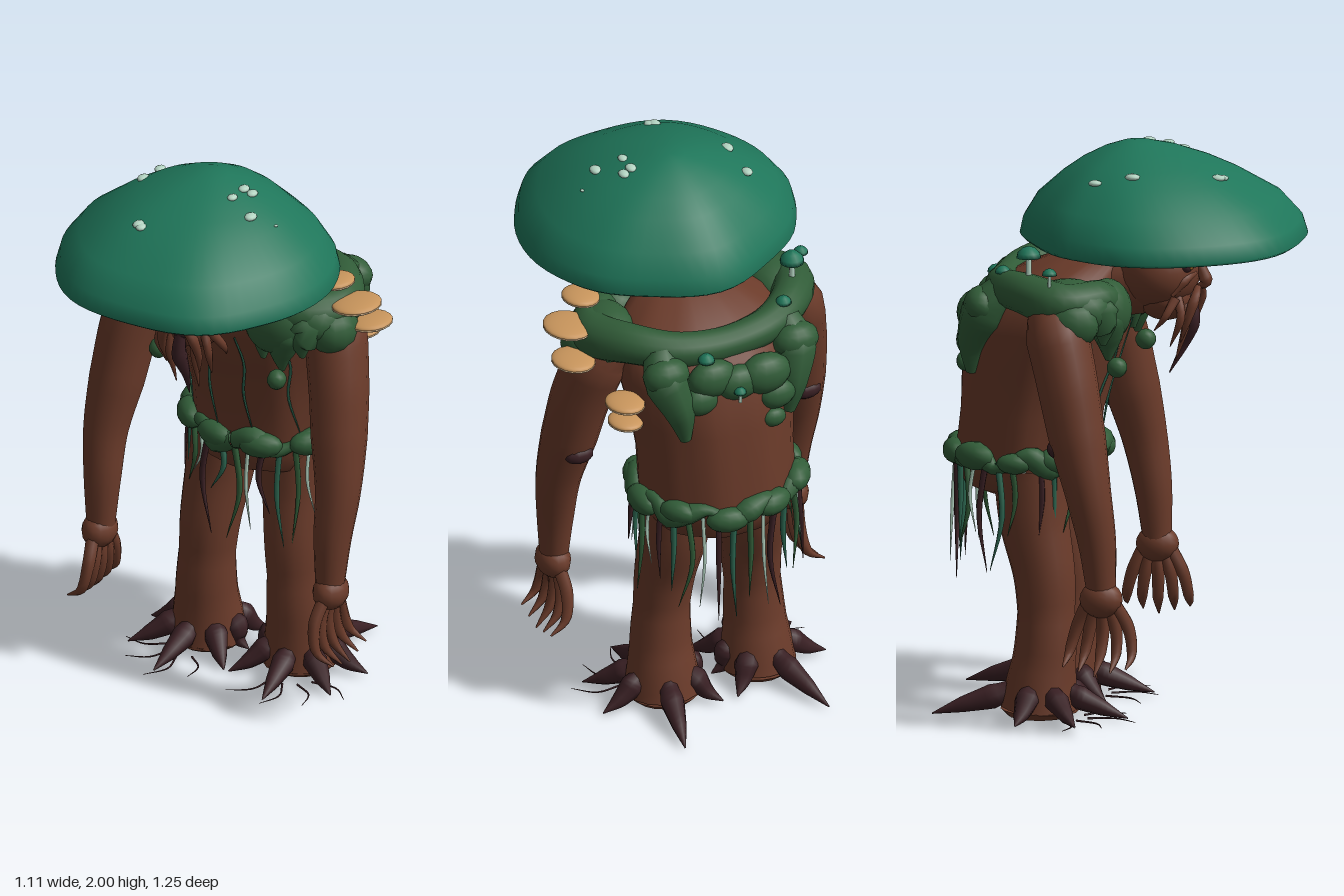
import * as THREE from 'three';
import { mergeVertices } from 'three/addons/utils/BufferGeometryUtils.js';

const mat = (name, color, side = THREE.FrontSide) => {
  const m = new THREE.MeshStandardMaterial({ color, side });
  m.name = name;
  return m;
};

export function createModel() {
  const bark = mat('bark', 0x6b3b2a), darkBark = mat('dark bark', 0x3a2024);
  const moss = mat('moss', 0x315c38), teal = mat('cap teal', 0x1f765a);
  const pale = mat('pale fungus', 0xb4d4c2, THREE.DoubleSide), tan = mat('shelf tan', 0xc8955c);
  const cream = mat('shelf cream', 0xe2c196);
  const amber = mat('amber eye', 0xb5772f), vine = mat('vine green', 0x2c6650);

  const model = new THREE.Group();
  model.name = 'mushroomTreeCreature';
  let seed = 7;
  const rnd = () => (seed = (seed * 16807) % 2147483647) / 2147483647;
  const V = (p) => new THREE.Vector3(...p);

  const add = (name, geo, material) => {
    const m = new THREE.Mesh(geo, material);
    m.name = name;
    model.add(m);
    return m;
  };
  const smooth = (geo) => {
    geo.deleteAttribute('uv');
    geo.deleteAttribute('normal');
    const g = mergeVertices(geo, 1e-4);
    g.computeVertexNormals();
    return g;
  };
  // Tube along points whose radius changes from one point to the next
  const sweep = (name, pts, radii, material, sides = 8, steps = 5) => {
    const curve = new THREE.CatmullRomCurve3(pts.map(V));
    const n = (pts.length - 1) * steps;
    const g = new THREE.TubeGeometry(curve, n, 1, sides);
    const p = g.attributes.position, v = new THREE.Vector3();
    for (let i = 0; i <= n; i++) {
      const c = curve.getPointAt(i / n), f = (i / n) * (radii.length - 1);
      const k = Math.min(Math.floor(f), radii.length - 2);
      const r = THREE.MathUtils.lerp(radii[k], radii[k + 1], f - k);
      for (let j = 0; j <= sides; j++) {
        const id = i * (sides + 1) + j;
        v.fromBufferAttribute(p, id).sub(c).multiplyScalar(r).add(c);
        p.setXYZ(id, v.x, v.y, v.z);
      }
    }
    return add(name, smooth(g), material);
  };
  const blob = (name, pos, scale, material, w = 14) => {
    const m = add(name, new THREE.SphereGeometry(1, w, Math.ceil(w * 0.7)), material);
    m.position.set(...pos);
    m.scale.set(...scale);
    return m;
  };

  // Torso: stacked rings [y, centre z, half width, half depth], top to bottom
  const rings = [[1.62, -0.08, 0.01, 0.01], [1.6, -0.1, 0.12, 0.12], [1.53, -0.19, 0.25, 0.2],
    [1.45, -0.23, 0.32, 0.255], [1.35, -0.26, 0.315, 0.275], [1.2, -0.3, 0.288, 0.265],
    [1.05, -0.325, 0.275, 0.245], [0.92, -0.34, 0.275, 0.245], [0.85, -0.34, 0.265, 0.24],
    [0.785, -0.335, 0.24, 0.222], [0.765, -0.33, 0.19, 0.18], [0.76, -0.32, 0.01, 0.01]];
  const body = new THREE.CylinderGeometry(1, 1, 1, 36, rings.length - 1, true);
  const bp = body.attributes.position;
  for (let i = 0; i < bp.count; i++) {
    const [y, cz, rx, rz] = rings[Math.floor(i / 37)];
    const a = ((i % 37) / 36) * Math.PI * 2, k = 1 + 0.018 * Math.sin(9 * a + y * 2);
    bp.setXYZ(i, Math.sin(a) * rx * k, y, cz + Math.cos(a) * rz * k);
  }
  add('torso', smooth(body), bark);

  // Mushroom cap: lathe profile pushed to an uneven outline, with its peak set back
  const profile = [[0, 1.73], [0.2, 1.72], [0.36, 1.695], [0.46, 1.667], [0.485, 1.656], [0.5, 1.668],
    [0.485, 1.725], [0.425, 1.805], [0.31, 1.887], [0.23, 1.932], [0.14, 1.97], [0.06, 1.993], [0, 2]];
  const outline = [0.495, 0.518, 0.492, 0.492, 0.485, 0.465, 0.49, 0.46, 0.478, 0.5, 0.495, 0.51];
  const rimScale = (a) => {
    const f = ((a / (Math.PI * 2) + 2) % 1) * 12, k = Math.floor(f) % 12, t = f - Math.floor(f);
    return THREE.MathUtils.lerp(outline[k], outline[(k + 1) % 12], t * t * (3 - 2 * t)) / 0.5;
  };
  const capPoint = (r, a, y) => {
    const k = r * (1 + (rimScale(a) - 1) * Math.min(1, r / 0.4));
    return [-0.012 + k * Math.sin(a), y, 0.125 - 0.09 * (1 - r / 0.5) + k * Math.cos(a)];
  };
  const cap = new THREE.LatheGeometry(profile.map((q) => new THREE.Vector2(...q)), 60);
  const cp = cap.attributes.position;
  for (let i = 0; i < cp.count; i++) {
    const x = cp.getX(i), z = cp.getZ(i);
    cp.setXYZ(i, ...capPoint(Math.hypot(x, z), Math.atan2(x, z), cp.getY(i)));
  }
  add('mushroomCap', smooth(cap), teal);

  // Gills: radial strips under the cap
  for (let i = 0; i < 32; i++) {
    const a = (i / 32) * Math.PI * 2, pts = [];
    for (const [r, y] of [[0.14, 1.712], [0.3, 1.696], [0.4, 1.674], [0.468, 1.655]])
      for (const w of [-0.006, 0.006]) pts.push(V(capPoint(r, a + w / r, y)));
    const g = new THREE.BufferGeometry().setFromPoints(pts);
    g.setIndex([0, 2, 4].flatMap((k) => [k, k + 2, k + 1, k + 1, k + 2, k + 3]));
    g.computeVertexNormals();
    add('gill', g, pale);
  }

  // Pale warts on the cap top
  for (const [x, z, s] of [[-0.27, -0.05, 1], [-0.26, 0.08, 1.1], [0.125, 0.055, 1], [0.155, 0.05, 1], [0.12, 0.125, 0.9],
    [0.21, 0.155, 1.1], [-0.12, 0.35, 1.1], [-0.105, 0.36, 1], [0.285, 0.11, 0.35]]) {
    let r = 0.2;
    for (let i = 0; i < 6; i++) r = Math.hypot(x + 0.012, z - 0.125 + 0.09 * (1 - r / 0.5));
    let k = 5;
    while (profile[k + 1][0] > r) k++;
    const [r0, y0] = profile[k], [r1, y1] = profile[k + 1];
    blob('capWart', [x, y0 + ((y1 - y0) * (r - r0)) / (r1 - r0), z], [0.019 * s, 0.011 * s, 0.024 * s], pale, 10);
  }

  // Head and face
  sweep('neck', [[0, 1.46, -0.2], [-0.01, 1.5, -0.04], [-0.02, 1.51, 0.1]], [0.14, 0.13, 0.11], bark, 14);
  blob('head', [-0.02, 1.55, 0.12], [0.15, 0.14, 0.145], bark, 26);
  blob('jaw', [-0.02, 1.46, 0.145], [0.11, 0.085, 0.1], bark, 18);
  sweep('nose', [[-0.02, 1.61, 0.245], [-0.02, 1.55, 0.275], [-0.02, 1.51, 0.285], [-0.02, 1.495, 0.25]],
    [0.012, 0.018, 0.024, 0.004], bark);
  blob('mouth', [-0.02, 1.46, 0.236], [0.036, 0.022, 0.02], darkBark);
  sweep('beardRoot', [[-0.02, 1.46, 0.235], [-0.025, 1.38, 0.24], [-0.015, 1.29, 0.21], [-0.03, 1.19, 0.16]],
    [0.02, 0.028, 0.013, 0.002], darkBark);
  for (const s of [-1, 1]) {
    const X = (x) => -0.02 + s * x;
    blob('eyeSocket', [X(0.068), 1.582, 0.236], [0.04, 0.024, 0.018], darkBark);
    blob('eye', [X(0.068), 1.581, 0.247], [0.024, 0.014, 0.012], amber, 12);
    blob('pupil', [X(0.068), 1.581, 0.257], [0.007, 0.008, 0.004], darkBark, 8);
    sweep('brow', [[X(0.015), 1.605, 0.262], [X(0.06), 1.622, 0.252], [X(0.12), 1.595, 0.205]], [0.006, 0.015, 0.005], bark);
    sweep('cheek', [[X(0.03), 1.55, 0.255], [X(0.08), 1.535, 0.23], [X(0.11), 1.48, 0.19]], [0.01, 0.02, 0.006], bark);
    sweep('moustache', [[X(0.01), 1.495, 0.26], [X(0.05), 1.47, 0.26], [X(0.07), 1.4, 0.24], [X(0.06), 1.31, 0.21]],
      [0.012, 0.02, 0.013, 0.002], bark);
    for (const [x, y, z] of [[0.09, 1.3, 0.18], [0.045, 1.24, 0.19], [0.12, 1.36, 0.13]])
      sweep('beardStrand', [[X(x * 0.8), 1.47, 0.2], [X(x * 1.1), 1.41, z + 0.04], [X(x), y, z]], [0.018, 0.014, 0.002], bark);
  }

  for (const s of [-1, 1]) {
    // Arm, wrist, elbow burl and fingers
    const A = (pts) => pts.map(([x, y, z]) => [s * x - 0.012, y, z]);
    sweep('arm', A([[0.25, 1.48, -0.2], [0.355, 1.42, -0.17], [0.41, 1.25, -0.12], [0.44, 1.05, -0.075],
      [0.462, 0.85, -0.03], [0.458, 0.68, 0], [0.456, 0.5, 0.015]]), [0.07, 0.11, 0.105, 0.098, 0.08, 0.066, 0.05], bark, 16);
    blob('hand', [s * 0.46 - 0.012, 0.48, 0.015], [0.06, 0.065, 0.075], bark);
    blob('elbowBurl', [s * 0.44 - 0.012, 1.0, -0.145], [0.055, 0.035, 0.033], darkBark, 10);
    for (let i = 0; i < 5; i++) {
      const t = i / 2 - 1;
      sweep('finger', A([[0.46, 0.47, 0.015 + t * 0.045], [0.45, 0.38, 0.02 + t * 0.09],
        [0.47, 0.29, 0.015 + t * 0.11], [0.53, 0.22 + 0.03 * Math.abs(t), 0.005 + t * 0.11]]),
      [0.024, 0.023, 0.019, 0.003], bark, 7);
    }

    // Leg with closed sole, and root toes
    const L = (x) => s * x - 0.017;
    sweep('leg', [[L(0.14), 0.86, -0.3], [L(0.152), 0.68, -0.285], [L(0.168), 0.48, -0.245], [L(0.18), 0.25, -0.24],
      [L(0.183), 0.1, -0.255], [L(0.183), 0.03, -0.26]], [0.13, 0.122, 0.109, 0.099, 0.11, 0.135], bark, 18);
    const sole = add('sole', new THREE.CylinderGeometry(0.135, 0.11, 0.025, 18), bark);
    sole.position.set(L(0.183), 0.0175, -0.26);
    for (const [deg, len] of [[6, 0.32], [52, 0.28], [98, 0.25], [165, 0.37], [225, 0.22], [275, 0.17], [318, 0.26]]) {
      const a = THREE.MathUtils.degToRad(deg), dx = s * Math.sin(a), dz = Math.cos(a);
      const at = (d, y) => [L(0.183) + dx * d, y, -0.26 + dz * d];
      sweep('rootToe', [at(0.07, 0.12), at(0.12, 0.085), at(len * 0.72, 0.042), at(len, 0.012)],
        [0.025, 0.043, 0.027, 0.002], darkBark);
    }
    // Hair-thin rootlets on the ground
    for (let i = 0; i < 4; i++) {
      const a = s * (-0.5 + i * 0.6), d = 0.2 + rnd() * 0.04;
      const at = (r, w) => [L(0.2) + Math.sin(a + w) * r, 0.004, -0.18 + Math.cos(a + w) * r];
      sweep('rootlet', [at(d * 0.4, 0), at(d * 0.8, 0.15), at(d * 1.15, -0.05)], [0.004, 0.003, 0.001], darkBark, 5);
    }

    // Shoulder moss with chest drapes and back drips
    blob('shoulderMoss', [s * 0.33, 1.465, -0.13], [0.115, 0.1, 0.15], moss, 18).rotation.z = -s * 0.4;
    blob('shoulderMossSide', [s * 0.385, 1.425, -0.11], [0.085, 0.09, 0.1], moss);
    blob('chestMossPad', [s * 0.215, 1.44, -0.02], [0.125, 0.11, 0.085], moss, 18).rotation.z = s * 0.4;
    for (const [x, y, r] of [[0.165, 1.32, 0.042], [0.24, 1.29, 0.048], [0.32, 1.36, 0.045]])
      sweep('chestMoss', [[s * 0.27, 1.48, -0.05], [s * (x + 0.02), 1.43, -0.015], [s * x, y + 0.05, -0.01], [s * x, y - 0.02, -0.01]],
        [0.05, 0.07, r, 0.01], moss);
    blob('mossTuft', [s * 0.235, 1.245, 0.02], [0.034, 0.036, 0.036], moss, 10);
    sweep('backDrip', [[s * 0.24, 1.5, -0.38], [s * 0.25, 1.43, -0.44], [s * 0.22, 1.32, -0.49], [s * 0.2, 1.2, -0.5]],
      [0.06, 0.08, 0.055, 0.02], moss);
    blob('backMoss', [s * 0.25, 1.45, -0.45], [0.085, 0.065, 0.065], moss);
  }

  // Moss roll around the shoulders and patches on the back
  const half = [[0.14, 1.45, 0.02], [0.27, 1.49, -0.02], [0.375, 1.485, -0.14], [0.315, 1.51, -0.29], [0.18, 1.5, -0.39]];
  const left = half.map(([x, y, z]) => [-x, y, z]);
  sweep('mossCollar', [...left, [0, 1.49, -0.415], ...half.reverse()],
    [0.01, 0.07, 0.08, 0.07, 0.062, 0.058, 0.062, 0.07, 0.08, 0.07, 0.01], moss, 14, 6);
  for (const [x, y, z, r] of [[-0.1, 1.39, -0.51, 0.075], [0.0, 1.38, -0.505, 0.065], [0.09, 1.41, -0.485, 0.07],
    [-0.14, 1.3, -0.52, 0.055], [0.14, 1.34, -0.495, 0.055], [-0.12, 1.22, -0.54, 0.035]])
    blob('backMossPatch', [x, y, z], [r * 1.3, r, r * 0.8], moss);

  // Moss belt with uneven clumps and hanging vines
  const onBelt = (a, y, k = 1) => [Math.sin(a) * 0.28 * k, y, -0.34 + Math.cos(a) * 0.245 * k];
  const beltPts = [], beltR = [];
  for (let i = 0; i <= 24; i++) {
    beltPts.push(onBelt((i / 24) * Math.PI * 2, 0.9 + 0.025 * Math.sin(i * 2.1)));
    beltR.push(0.032 + 0.014 * Math.sin(i * 1.7));
  }
  sweep('mossBelt', beltPts, beltR, moss, 10, 4);
  for (let i = 0; i < 10; i++) {
    const r = 0.034 + rnd() * 0.016, a = (i / 10) * Math.PI * 2 + 0.35;
    blob('beltMoss', onBelt(a, 0.88 + rnd() * 0.04, 1.03), [r * 1.7, r, r], moss, 12).rotation.set(0, a, 0);
  }
  for (let i = 0; i < 32; i++) {
    const a = (i / 32) * Math.PI * 2, m = [moss, pale, darkBark, vine][i % 4], w = rnd() * 0.2 - 0.1;
    const len = (m === pale ? 0.16 : 0.2) + rnd() * 0.2 + (Math.cos(a) < -0.7 ? 0.08 : 0), k = 1.03 + rnd() * 0.08;
    sweep('hangingVine', [onBelt(a, 0.9, 1.02), onBelt(a + w, 0.9 - len * 0.5, k - 0.03), onBelt(a - w, 0.9 - len, k)],
      m === pale ? [0.007, 0.007, 0.001] : [0.012, 0.01, 0.001], m, 6);
  }

  // Thin vines on the chest
  for (const [x, top] of [[-0.22, 1.38], [-0.08, 1.36], [0.06, 1.36], [0.2, 1.36]]) {
    const front = (y, w) => {
      let k = 0;
      while (rings[k + 1][0] > y) k++;
      const t = (y - rings[k][0]) / (rings[k + 1][0] - rings[k][0]);
      const [, cz, rx, rz] = rings[k].map((v, j) => THREE.MathUtils.lerp(v, rings[k + 1][j], t));
      return [x + w, y, cz + rz * Math.sqrt(1 - ((x + w) / rx) ** 2) + 0.001];
    };
    sweep('chestVine', [front(top, 0), front(1.24, 0.016), front(1.1, -0.008), front(0.94, 0.012)], [0.003, 0.005, 0.005, 0.002], vine, 5);
  }

  // Shelf mushrooms on the left side, lighter underneath
  for (const [x, y, z, r] of [[0.4, 1.62, -0.1, 0.065], [0.465, 1.535, -0.13, 0.085], [0.48, 1.44, -0.2, 0.075],
    [0.355, 1.31, -0.345, 0.068], [0.33, 1.2, -0.3, 0.06]]) {
    blob('shelfMushroom', [x, y, z], [r, 0.018, r * 1.1], tan, 18).rotation.z = 0.06;
    blob('shelfUnderside', [x, y - 0.006, z], [r * 1.01, 0.0135, r * 1.11], cream, 18).rotation.z = 0.06;
  }

  // Little mushrooms growing from the moss
  for (const [x, y, z, r, h] of [[-0.33, 1.66, -0.27, 0.043, 0.13], [-0.41, 1.61, -0.18, 0.026, 0.1], [-0.24, 1.575, -0.38, 0.028, 0.07],
    [0.11, 1.5, -0.48, 0.03, 0.07], [0.02, 1.385, -0.56, 0.022, 0.05]]) {
    const stem = add('sproutStem', new THREE.CylinderGeometry(r * 0.2, r * 0.28, h, 8), pale);
    stem.position.set(x, y - h / 2, z);
    const g = new THREE.LatheGeometry([[0, 0], [1, -0.1], [0.9, 0.3], [0.5, 0.7], [0, 0.85]].map((q) => new THREE.Vector2(...q)), 14);
    const c = add('sproutCap', g, teal);
    c.position.set(x, y - r * 0.4, z);
    c.scale.setScalar(r);
  }
  return model;
}
